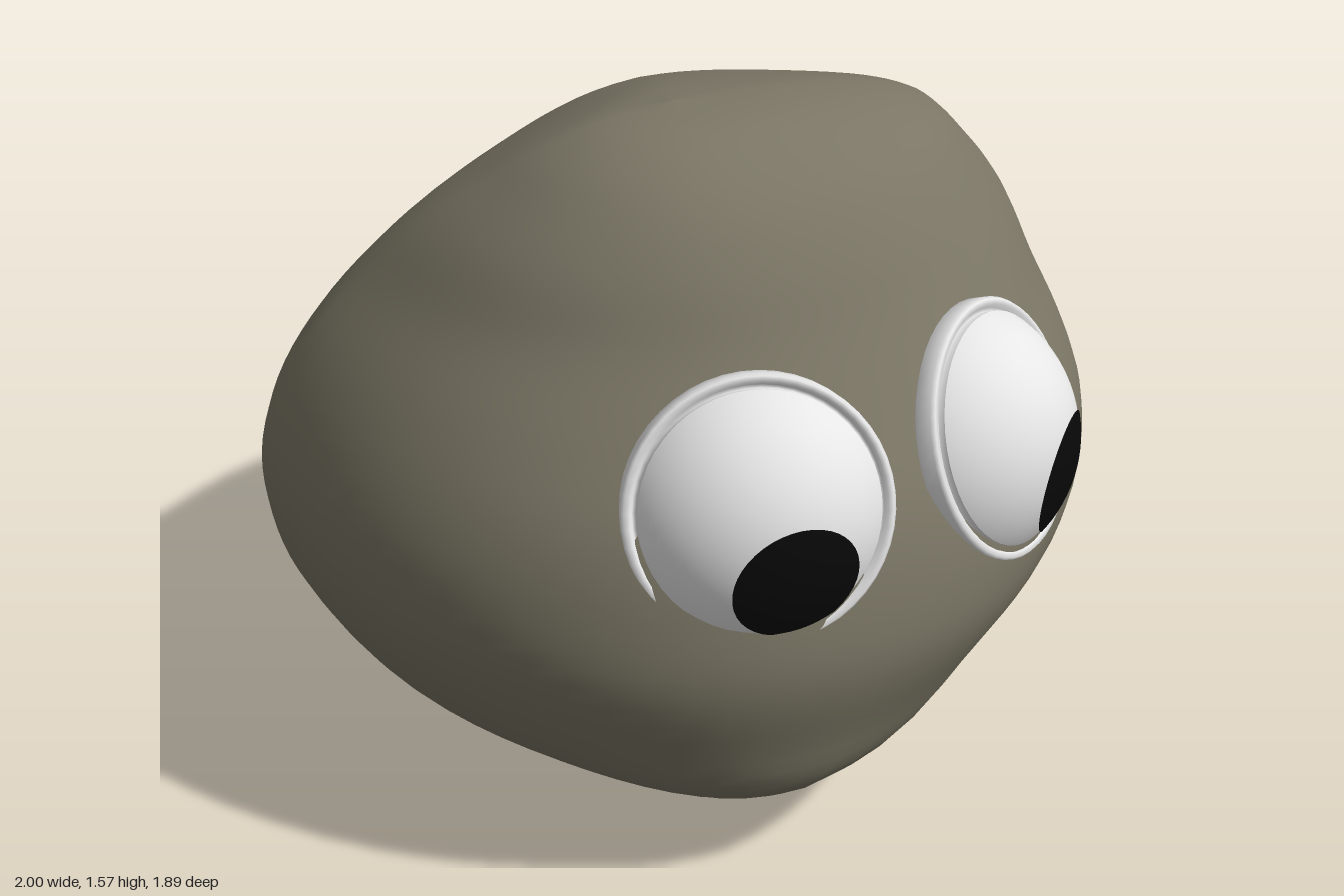
import * as THREE from 'three';

const mat = (name, color, extra = {}) => {
  const m = new THREE.MeshStandardMaterial({ color, ...extra });
  m.name = name;
  return m;
};

// Stone slices: y, left and right x, back and front z, x of front tip, x of back tip, z of side tips
const SLICES = [
  [0.0, 0, 0, 0.1, 0.1, 0, 0, 0.1],
  [0.02, -0.42, 0.32, -0.4, 0.42, -0.1, 0, 0],
  [0.05, -0.54, 0.68, -0.67, 0.55, -0.15, 0.05, -0.15],
  [0.12, -0.7, 0.83, -0.76, 0.68, -0.18, 0.06, -0.18],
  [0.26, -0.83, 0.91, -0.88, 0.85, -0.15, 0.1, -0.18],
  [0.4, -0.92, 0.975, -0.94, 0.895, -0.1, 0.1, -0.18],
  [0.58, -0.985, 1.0, -0.905, 0.935, -0.05, 0.1, -0.16],
  [0.75, -1.0, 0.965, -0.865, 0.91, 0, 0.08, -0.16],
  [0.9, -0.96, 0.905, -0.82, 0.85, 0, 0.06, -0.16],
  [1.05, -0.88, 0.83, -0.735, 0.74, 0, 0.05, -0.14],
  [1.2, -0.76, 0.76, -0.61, 0.63, 0, 0.05, -0.1],
  [1.33, -0.65, 0.65, -0.48, 0.55, -0.03, 0.05, -0.02],
  [1.43, -0.53, 0.54, -0.3, 0.47, -0.05, 0, 0.05],
  [1.5, -0.43, 0.38, -0.14, 0.38, -0.08, -0.03, 0.1],
  [1.55, -0.31, 0.13, 0.02, 0.28, -0.1, -0.1, 0.13],
  [1.57, -0.13, -0.13, 0.14, 0.14, -0.13, -0.13, 0.14],
];

// How far each corner reaches before it is cut off, at four heights
const HEIGHTS = [0.1, 0.35, 0.65, 1.1];
const CORNERS = {
  frontLeft: [1.2, 1.27, 1.48, 1.65],
  frontRight: [1.22, 1.6, 1.75, 1.75],
  backLeft: [1.36, 1.33, 1.28, 1.22],
  backRight: [1.5, 1.35, 1.26, 1.2],
};

function cornerReach(reach, y) {
  const h = THREE.MathUtils.clamp(y, HEIGHTS[0], HEIGHTS[3]);
  const i = h < HEIGHTS[1] ? 0 : h < HEIGHTS[2] ? 1 : 2;
  return THREE.MathUtils.mapLinear(h, HEIGHTS[i], HEIGHTS[i + 1], reach[i], reach[i + 1]);
}

// Point on a slice outline: a rounded form with softly cut corners
function slicePoint([y, xl, xr, zb, zf, cf, cb, cz], angle) {
  const c = Math.cos(angle), s = Math.sin(angle);
  const corner = (s >= 0 ? 'front' : 'back') + (c >= 0 ? 'Left' : 'Right');
  const reach = cornerReach(CORNERS[corner], y);
  const round = (Math.abs(c) ** 2.2 + Math.abs(s) ** 2.2) ** (1 / 2.2);
  const cut = (Math.abs(c) + Math.abs(s)) / reach;
  const k = ((1 + reach ** -10) / (round ** 10 + cut ** 10)) ** 0.1;
  const mid = s >= 0 ? cf : cb;
  const x = mid + k * c * (c >= 0 ? xr - mid : mid - xl);
  const z = cz + k * s * (s >= 0 ? zf - cz : cz - zb);
  return new THREE.Vector3(x, y, z);
}

// Smooth loft through the slices
function stoneGeometry(cols = 72, rows = 60) {
  const pos = [], index = [];
  for (let j = 0; j < cols; j++) {
    const a = (j / cols) * Math.PI * 2;
    const curve = new THREE.CatmullRomCurve3(SLICES.map((s) => slicePoint(s, a)));
    for (const v of curve.getPoints(rows)) pos.push(v.x, Math.max(0, v.y), v.z);
  }
  const n = rows + 1;
  for (let j = 0; j < cols; j++) {
    for (let i = 0; i < rows; i++) {
      const a = j * n + i, b = ((j + 1) % cols) * n + i;
      index.push(a, a + 1, b, b, a + 1, b + 1);
    }
  }
  const g = new THREE.BufferGeometry();
  g.setAttribute('position', new THREE.Float32BufferAttribute(pos, 3));
  g.setIndex(index);
  g.computeVertexNormals();
  return g;
}

const UP = new THREE.Vector3(0, 1, 0);
const DOME_R = 0.31, DOME_EDGE = 0.252, DOME_BASE = 0.03;

// Eye: flat backing with a raised lip, a dome, and a pupil lying on the dome
function makeEye(name, centre, normal, look, white, black) {
  const eye = new THREE.Group();
  eye.name = name;
  eye.position.set(...centre);
  eye.quaternion.setFromUnitVectors(UP, new THREE.Vector3(...normal).normalize());

  const profile = [[0, -0.03], [0.27, -0.03], [0.284, -0.02], [0.284, 0.015], [0.278, 0.024], [0.266, 0.024], [0.26, 0.012], [DOME_EDGE, 0.012], [DOME_EDGE, DOME_BASE]];
  const rim = new THREE.Mesh(
    new THREE.LatheGeometry(profile.map(([x, y]) => new THREE.Vector2(x, y)), 48), white);
  rim.name = 'eyeRim';

  const domeY = DOME_BASE - Math.sqrt(DOME_R ** 2 - DOME_EDGE ** 2);
  const dome = new THREE.Mesh(
    new THREE.SphereGeometry(DOME_R, 48, 20, 0, Math.PI * 2, 0, Math.asin(DOME_EDGE / DOME_R)), white);
  dome.name = 'eyeDome';
  dome.position.y = domeY;

  const pupil = new THREE.Mesh(
    new THREE.SphereGeometry(DOME_R + 0.004, 40, 10, 0, Math.PI * 2, 0, 0.455), black);
  pupil.name = 'pupil';
  pupil.position.y = domeY;
  const local = new THREE.Vector3(...look).normalize().applyQuaternion(eye.quaternion.clone().invert());
  pupil.quaternion.setFromUnitVectors(UP, local);

  eye.add(rim, dome, pupil);
  return eye;
}

export function createModel() {
  const stone = mat('stone', 0x7a7564);
  const white = mat('eyeWhite', 0xe6e6e6, { side: THREE.DoubleSide });
  const black = mat('pupilBlack', 0x080808);

  const model = new THREE.Group();
  model.name = 'stoneWithEyes';
  const body = new THREE.Mesh(stoneGeometry(), stone);
  body.name = 'stoneBody';
  model.add(
    body,
    makeEye('rightEye', [-0.26, 0.935, 0.765], [-0.29, 0.36, 0.89], [-0.12, -0.15, 0.98], white, black),
    makeEye('leftEye', [0.355, 0.925, 0.705], [0.47, 0.36, 0.8], [0.64, -0.12, 0.755], white, black),
  );
  return model;
}
